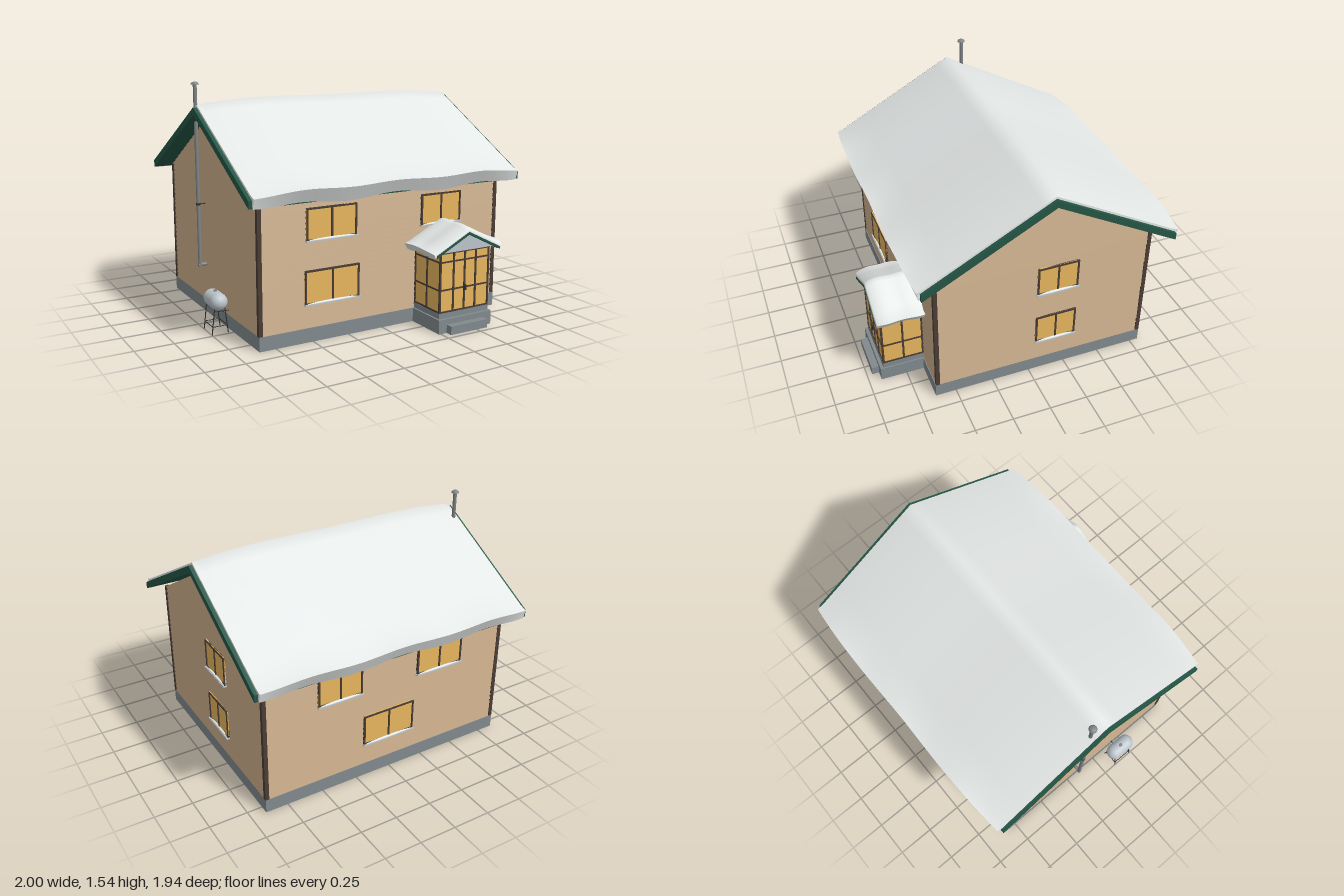
import * as THREE from 'three';
import { toCreasedNormals } from 'three/addons/utils/BufferGeometryUtils.js';

const mat = (name, color, side = THREE.FrontSide) => new THREE.MeshStandardMaterial({ name, color, side });

export function createModel() {
  const siding = mat('tan siding', 0xc8ab89, THREE.DoubleSide);
  const stone = mat('foundation grey', 0x828a8e);
  const snowMat = mat('snow', 0xe3e7e6);
  const green = mat('roof green', 0x245646);
  const brown = mat('dark brown trim', 0x4a3d35);
  const glow = mat('lit glass', 0xf0bd62);
  const metal = mat('pale metal', 0xbcc6cc);
  const steel = mat('flue steel', 0x808486);
  const iron = mat('dark iron', 0x2e2e30);
  const house = new THREE.Group();
  house.name = 'house';

  const add = (parent, name, geometry, material) => {
    const m = new THREE.Mesh(geometry, material);
    m.name = name;
    parent.add(m);
    return m;
  };
  // Box given by its bounds
  const box = (parent, name, material, x0, x1, y0, y1, z0, z1) =>
    add(parent, name, new THREE.BoxGeometry(x1 - x0, y1 - y0, z1 - z0), material)
      .position.set((x0 + x1) / 2, (y0 + y1) / 2, (z0 + z1) / 2);
  // Round rod between two points
  const rod = (parent, name, material, a, b, r, sides = 8) => {
    const p = new THREE.Vector3(...a), q = new THREE.Vector3(...b), d = q.clone().sub(p);
    const m = add(parent, name, new THREE.CylinderGeometry(r, r, d.length(), sides), material);
    m.position.copy(p).lerp(q, 0.5);
    m.quaternion.setFromUnitVectors(new THREE.Vector3(0, 1, 0), d.normalize());
  };

  const X0 = -0.86, X1 = 0.9, Z0 = -0.805, Z1 = 0.63, CX = 0.02, CZ = -0.09;
  const BASE = 0.09, EAVE = 0.925, APEX = 1.335;

  // Foundation, porch base and step
  box(house, 'foundation', stone, X0, X1, 0, BASE, Z0 - 0.003, Z1 + 0.005);
  box(house, 'porchBase', stone, 0.235, 0.645, 0, BASE, 0.6, 0.92);
  box(house, 'step', stone, 0.295, 0.58, 0, 0.055, 0.9, 0.966);

  // Lap siding: each board leans out at its lower edge and has a small ledge below
  function lapWall(name, halfWidth, gable, x, z, ry) {
    const pos = [], P = 0.008;
    const quad = (a, b, c, d) => pos.push(...a, ...b, ...c, ...a, ...c, ...d);
    const course = (y0, y1, w0, w1) => {
      quad([-w0, y0, P], [w0, y0, P], [w1, y1, 0], [-w1, y1, 0]);
      quad([-w0, y0, 0], [w0, y0, 0], [w0, y0, P], [-w0, y0, P]);
    };
    const h = (EAVE - BASE) / 24, g = (APEX - EAVE) / 12;
    for (let i = 0; i < 24; i++) course(BASE + i * h, BASE + (i + 1) * h, halfWidth, halfWidth);
    if (gable) for (let i = 0; i < 12; i++)
      course(EAVE + i * g, EAVE + (i + 1) * g, halfWidth * (1 - i / 12), halfWidth * (1 - (i + 1) / 12));
    const geo = new THREE.BufferGeometry();
    geo.setAttribute('position', new THREE.Float32BufferAttribute(pos, 3));
    geo.computeVertexNormals();
    const m = add(house, name, geo, siding);
    m.position.set(x, 0, z);
    m.rotation.y = ry;
  }
  const HX = (X1 - X0) / 2 - 0.004, HZ = (Z1 - Z0) / 2 - 0.004;
  lapWall('frontWall', HX, false, CX, Z1 - 0.008, 0);
  lapWall('backWall', HX, false, CX, Z0 + 0.008, Math.PI);
  lapWall('leftWall', HZ, true, X1 - 0.008, CZ, Math.PI / 2);
  lapWall('rightWall', HZ, true, X0 + 0.008, CZ, -Math.PI / 2);

  // Corner boards
  for (const x of [X0, X1 - 0.022]) for (const z of [Z0, Z1 - 0.022])
    box(house, 'cornerBoard', brown, x - 0.002, x + 0.024, BASE, 0.93, z - 0.002, z + 0.024);

  // Windows: pane, frame, mullion, sill and a little snow on the sill
  function addWindow(w, y0, y1, x, z, ry) {
    const g = new THREE.Group(), a = w / 2, f = 0.011;
    g.name = 'window';
    box(g, 'pane', glow, -a, a, y0, y1, -0.004, 0.004);
    for (const c of [-a + f / 2, 0, a - f / 2])
      box(g, 'frameUpright', brown, c - f / 2, c + f / 2, y0, y1, -0.006, 0.01);
    for (const y of [y0, y1 - f]) box(g, 'frameRail', brown, -a, a, y, y + f, -0.006, 0.01);
    box(g, 'sill', metal, -a - 0.004, a + 0.004, y0 - 0.004, y0 + 0.005, -0.006, 0.02);
    const s = add(g, 'sillSnow', new THREE.SphereGeometry(1, 20, 6, 0, Math.PI * 2, 0, Math.PI / 2), snowMat);
    s.scale.set(a * 0.94, 0.01, 0.009);
    s.position.set(0, y0 + 0.005, 0.01);
    g.position.set(x, 0, z);
    g.rotation.y = ry;
    house.add(g);
  }
  const up = [0.633, 0.836], low = [0.238, 0.452];
  addWindow(0.348, ...up, -0.369, Z1, 0);
  addWindow(0.31, ...up, 0.441, Z1, 0);
  addWindow(0.38, ...low, -0.365, Z1, 0);
  addWindow(0.31, ...up, 0.377, Z0, Math.PI);
  addWindow(0.345, ...up, -0.36, Z0, Math.PI);
  addWindow(0.375, ...low, 0.015, Z0, Math.PI);
  addWindow(0.275, ...up, X1, -0.175, Math.PI / 2);
  addWindow(0.275, 0.24, 0.445, X1, -0.175, Math.PI / 2);

  // Gable roof along local x: a chevron slab with a wavy snow blanket
  function roof(name, { half, snowHalf, span, apex, slope, thick, snow, wave, freq }) {
    const g = new THREE.Group();
    g.name = name;
    const ye = apex - slope * span;
    const shape = new THREE.Shape([[-span, ye], [-span, ye - thick], [0, apex - thick], [span, ye - thick],
      [span, ye], [0, apex]].map(p => new THREE.Vector2(...p)));
    const slab = new THREE.ExtrudeGeometry(shape, { depth: half * 2, bevelEnabled: false });
    add(g, name + 'Boards', slab.translate(0, 0, -half).rotateY(Math.PI / 2), green);

    const S = [-1, -0.97, -0.8, -0.55, -0.3, -0.1, 0, 0.1, 0.3, 0.55, 0.8, 0.97, 1];
    const n = S.length, NX = 48, tops = [], bottoms = [], pos = [];
    for (let i = 0; i <= NX; i++) {
      const u = -1 + 2 * i / NX, x = u * snowHalf;
      const t = snow * (1 - 0.7 * u ** 4 - 0.16 * Math.exp(-8 * u * u));
      const w = wave * Math.cos(freq * x) * (1 - u ** 6);
      tops.push(S.map(s => {
        const out = Math.abs(s) === 1 ? 0.2 * snow + 0.9 * t : 0;
        return [x, apex - slope * Math.abs(s) * span + t - out * 0.2 + (out ? w * 0.6 : 0), s * (span + out)];
      }));
      bottoms.push(S.map(s => {
        const y = apex - slope * Math.abs(s) * span;
        return Math.abs(s) === 1 ? [x, y - thick - 0.002 + w, s * (span + 0.008)] : [x, y, s * span];
      }));
    }
    const quad = (a, b, c, d) => pos.push(...a, ...b, ...c, ...a, ...c, ...d);
    for (let i = 0; i < NX; i++) {
      const T = tops[i], U = tops[i + 1], B = bottoms[i], C = bottoms[i + 1], k = n - 1;
      for (let j = 0; j < k; j++) {
        quad(T[j], T[j + 1], U[j + 1], U[j]);
        quad(B[j], C[j], C[j + 1], B[j + 1]);
      }
      quad(T[k], B[k], C[k], U[k]);
      quad(T[0], U[0], C[0], B[0]);
    }
    for (let j = 0; j < n - 1; j++) {
      const T = tops[NX], B = bottoms[NX], T0 = tops[0], B0 = bottoms[0];
      quad(B[j], T[j], T[j + 1], B[j + 1]);
      quad(B0[j], B0[j + 1], T0[j + 1], T0[j]);
    }
    const geo = new THREE.BufferGeometry();
    geo.setAttribute('position', new THREE.Float32BufferAttribute(pos, 3));
    add(g, name + 'Snow', toCreasedNormals(geo, 1.1), snowMat);
    house.add(g);
    return g;
  }
  roof('mainRoof', { half: 0.977, snowHalf: 0.954, span: 0.823, apex: 1.388, slope: 0.545, thick: 0.048,
    snow: 0.05, wave: 0.012, freq: 9.4 }).position.set(0.021, 0, -0.095);
  const porchRoof = roof('porchRoof', { half: 0.169, snowHalf: 0.165, span: 0.245, apex: 0.637, slope: 0.5,
    thick: 0.016, snow: 0.04, wave: 0.006, freq: 28 });
  porchRoof.rotation.y = -Math.PI / 2;
  porchRoof.position.set(0.441, 0, 0.768);

  // Glazed porch
  const porch = new THREE.Group();
  porch.name = 'porch';
  house.add(porch);
  const PX0 = 0.248, PX1 = 0.635, PZ = 0.9, b = 0.006;
  box(porch, 'porchSill', stone, PX0, PX1, BASE, 0.125, 0.62, PZ);
  box(porch, 'porchGlass', glow, PX0 + 0.006, PX1 - 0.006, 0.125, 0.512, 0.62, PZ - 0.006);
  for (const x of [PX0 + b, 0.355, 0.441, 0.527, PX1 - b])
    box(porch, 'frontPost', brown, x - b, x + b, 0.125, 0.512, PZ - 0.012, PZ);
  for (const z of [0.632, 0.76])
    for (const x of [PX0, PX1 - 0.012]) box(porch, 'sidePost', brown, x, x + 0.012, 0.125, 0.512, z - b, z + b);
  for (const y of [0.13, 0.273, 0.453, 0.51]) {
    box(porch, 'frontRail', brown, PX0, PX1, y - 0.005, y + 0.005, PZ - 0.011, PZ - 0.001);
    for (const x of [PX0 + 0.001, PX1 - 0.011])
      box(porch, 'sideRail', brown, x, x + 0.01, y - 0.005, y + 0.005, 0.62, PZ - 0.002);
  }
  box(porch, 'doorHandle', iron, 0.432, 0.45, 0.255, 0.29, PZ, PZ + 0.01);
  const tri = new THREE.Shape([[0.215, 0.512], [0.667, 0.512], [0.441, 0.624]].map(p => new THREE.Vector2(...p)));
  add(porch, 'porchGable', new THREE.ExtrudeGeometry(tri, { depth: 0.28, bevelEnabled: false }), metal).position.z = 0.62;

  // Flue pipe with elbow, bracket and cap
  const FX = -0.9, FZ = -0.2;
  rod(house, 'flue', steel, [FX, 0.325, FZ], [FX, 1.525, FZ], 0.0125, 16);
  rod(house, 'flueElbow', steel, [FX - 0.012, 0.335, FZ], [X0 + 0.01, 0.335, FZ], 0.0115, 16);
  rod(house, 'flueBracket', iron, [FX, 0.745, FZ], [X0 + 0.01, 0.745, FZ], 0.004);
  rod(house, 'flueCollar', iron, [FX, 0.738, FZ], [FX, 0.752, FZ], 0.0145, 16);
  const cap = add(house, 'flueCap', new THREE.SphereGeometry(0.026, 16, 6, 0, Math.PI * 2, 0, Math.PI / 2), steel);
  cap.scale.y = 0.7;
  cap.position.set(FX, 1.523, FZ);
  add(house, 'flueCapBase', new THREE.CircleGeometry(0.026, 16).rotateX(Math.PI / 2), steel).position.copy(cap.position);

  // Fuel tank on a braced stand
  const TX = -0.943, TY = 0.205, TZ = 0.163;
  const tank = add(house, 'tank', new THREE.CapsuleGeometry(0.055, 0.105, 8, 24).rotateX(Math.PI / 2), metal);
  tank.position.set(TX, TY, TZ);
  rod(house, 'tankFiller', steel, [TX, 0.25, TZ], [TX, 0.268, TZ], 0.012, 12);
  rod(house, 'tankPipe', iron, [TX + 0.02, 0.12, TZ], [X0 + 0.005, 0.12, TZ], 0.003);
  rod(house, 'tankOutlet', iron, [TX + 0.02, 0.12, TZ], [TX + 0.02, 0.17, TZ], 0.003);
  const legX = (s, y) => TX + s * (0.054 - 0.12 * y);
  for (const z of [0.095, 0.23]) {
    for (const s of [-1, 1]) rod(house, 'tankLeg', iron, [legX(s, 0), 0, z], [legX(s, 0.19), 0.19, z], 0.0035);
    for (const y of [0.05, 0.15]) rod(house, 'standBrace', iron, [legX(-1, y), y, z], [legX(1, y), y, z], 0.0028);
  }
  for (const s of [-1, 1]) rod(house, 'standRail', iron, [legX(s, 0.05), 0.05, 0.095], [legX(s, 0.05), 0.05, 0.23], 0.0028);

  return house;
}
